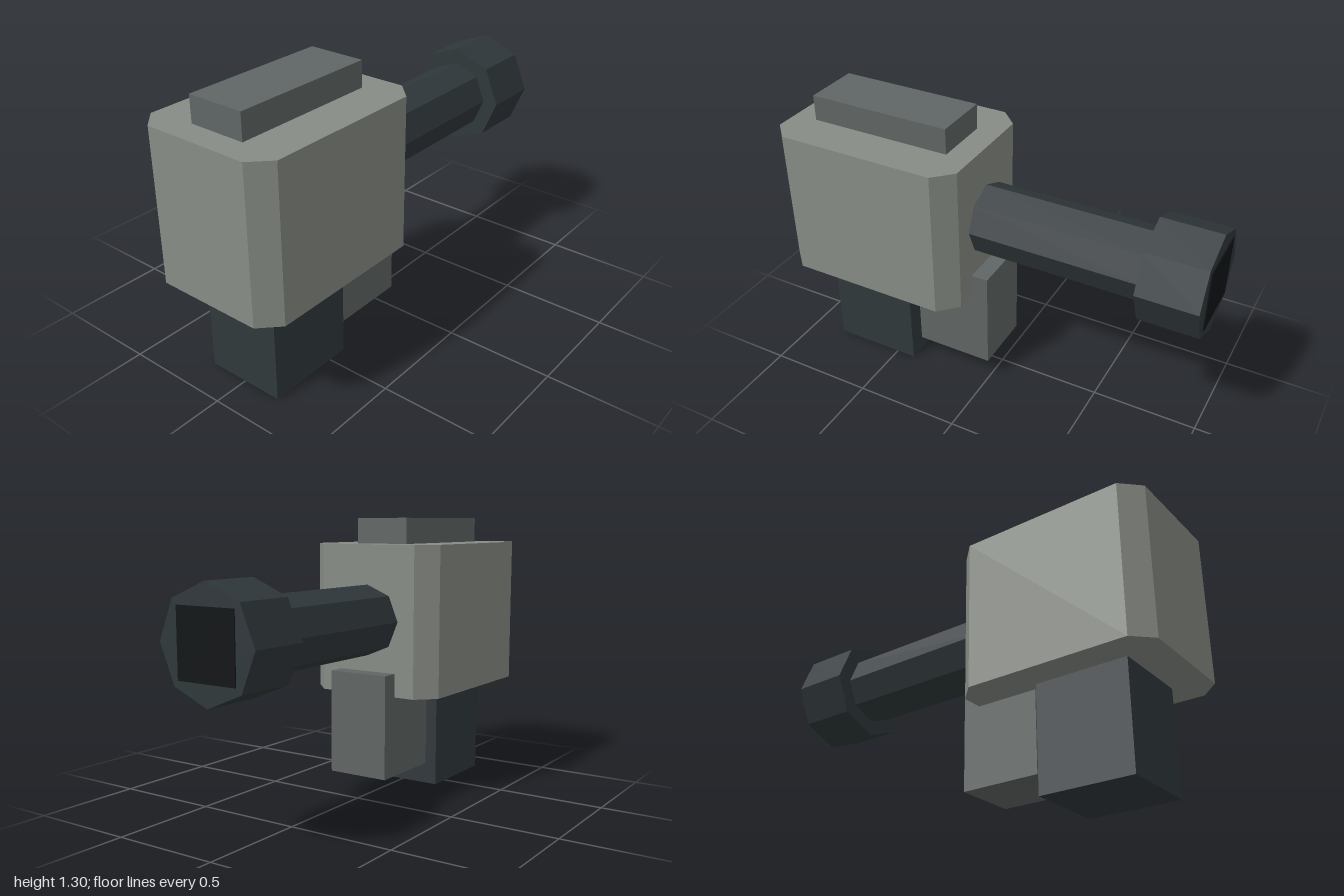
import * as THREE from 'three';

const paint = (color) => new THREE.MeshStandardMaterial({ color, flatShading: true });

export function createModel() {
  const model = new THREE.Group();
  const shell = paint(0x878c85);
  const trim = paint(0x606665);
  const dark = paint(0x30383b);
  const black = paint(0x121516);

  function add(name, geometry, material) {
    const mesh = new THREE.Mesh(geometry, material);
    mesh.name = name;
    model.add(mesh);
    return mesh;
  }

  // Box centred on x, given by its width and its y and z ranges
  function block(name, width, y0, y1, z0, z1, material) {
    const mesh = add(name, new THREE.BoxGeometry(width, y1 - y0, z1 - z0), material);
    mesh.position.set(0, (y0 + y1) / 2, (z0 + z1) / 2);
  }

  // Eight-sided tube along z, with corners on the x and y axes
  function octagon(name, radius, z0, z1, material) {
    const geometry = new THREE.CylinderGeometry(radius, radius, z1 - z0, 8);
    geometry.rotateX(Math.PI / 2);
    add(name, geometry, material).position.set(0, 0.835, (z0 + z1) / 2);
  }

  // Main housing: a rectangle with cut corners, extruded upwards
  const w = 0.335, front = 1, back = 0.08, cut = 0.085;
  const outline = new THREE.Shape([
    [w - cut, -front], [w, cut - front], [w, -back - cut], [w - cut, -back],
    [cut - w, -back], [-w, -back - cut], [-w, cut - front], [cut - w, -front],
  ].map(([x, y]) => new THREE.Vector2(x, y)));
  const housing = new THREE.ExtrudeGeometry(outline, { depth: 0.7, bevelEnabled: false });
  housing.rotateX(-Math.PI / 2);
  add('housing', housing, shell).position.y = 0.485;

  // Top plate and the two blocks below
  block('topPlate', 0.27, 1.185, 1.305, 0.2, 0.885, trim);
  block('lowerPost', 0.38, 0, 0.485, 0.405, 0.835, dark);
  block('rearBlock', 0.3, 0.11, 0.595, 0, 0.375, trim);

  // Barrel with its wider end and square opening
  octagon('barrel', 0.165, -0.73, 0.09, dark);
  octagon('barrelEnd', 0.24, -0.995, -0.72, dark);
  block('barrelOpening', 0.29, 0.69, 0.98, -1, -0.95, black);

  return model;
}
